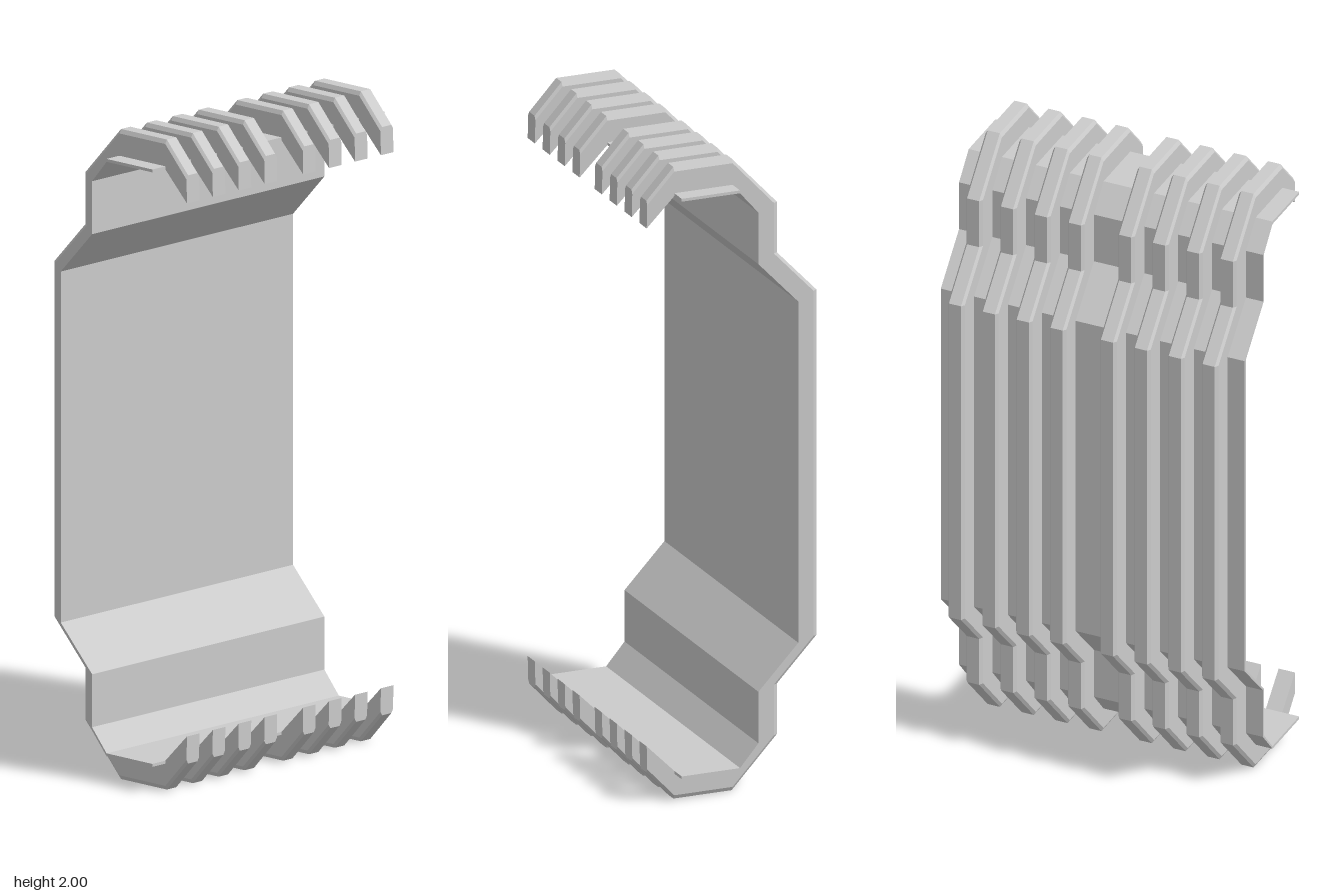
import * as THREE from 'three';

// Upper half of the side profile as [z, y]: front (inner) line and back (outer) line.
const INNER = [[0.28, 1.82], [0.19, 1.91], [0, 1.91], [-0.06, 1.84], [-0.06, 1.677], [-0.19, 1.54]];
const OUTER = [[0.278, 1.905], [0.19, 2], [0, 2], [-0.147, 1.843], [-0.147, 1.683], [-0.276, 1.547]];

// Adds the lower half by mirroring about y = 1.
const mirrored = (half) => [...half, ...half.map(([z, y]) => [z, 2 - y]).reverse()];

// Sweeps a section of [x, t] points down the profile; t runs from inner (0) to outer (1).
function sweep(section, skip) {
  const inner = mirrored(INNER.slice(skip));
  const outer = mirrored(OUTER.slice(skip));
  const rings = inner.map(([z, y], i) => section.map(([x, t]) => [
    x,
    THREE.MathUtils.lerp(y, outer[i][1], t),
    THREE.MathUtils.lerp(z, outer[i][0], t),
  ]));
  const pos = [];
  const tri = (a, b, c) => pos.push(...a, ...b, ...c);
  const n = section.length;
  for (let i = 0; i < rings.length - 1; i++) {
    for (let j = 0; j < n; j++) {
      const k = (j + 1) % n;
      tri(rings[i][j], rings[i][k], rings[i + 1][k]);
      tri(rings[i][j], rings[i + 1][k], rings[i + 1][j]);
    }
  }
  // End caps
  const first = rings[0];
  const last = rings[rings.length - 1];
  for (let j = 1; j < n - 1; j++) {
    tri(first[0], first[j + 1], first[j]);
    tri(last[0], last[j], last[j + 1]);
  }
  const geometry = new THREE.BufferGeometry();
  geometry.setAttribute('position', new THREE.Float32BufferAttribute(pos, 3));
  geometry.computeVertexNormals();
  return geometry;
}

export function createModel() {
  const model = new THREE.Group();
  model.name = 'ribbedPanel';
  const material = new THREE.MeshStandardMaterial({ color: 0xcccccc, flatShading: true });

  // Thin folded sheet, ending short of the rib tips
  const sheet = new THREE.Mesh(
    sweep([[-0.5, 0], [-0.5, 0.1], [0.5, 0.1], [0.5, 0]], 1), material);
  sheet.name = 'foldedSheet';
  model.add(sheet);

  // Eight ribs with chamfered outer edges, hooked forward at both ends
  const w = 0.027, c = 0.007;
  const ribGeometry = sweep(
    [[-w, 0], [-w, 0.86], [-w + c, 1], [w - c, 1], [w, 0.86], [w, 0]], 0);
  const ribs = new THREE.Group();
  ribs.name = 'ribs';
  for (const side of [-1, 1]) {
    for (let i = 0; i < 4; i++) {
      const rib = new THREE.Mesh(ribGeometry, material);
      rib.name = 'rib';
      rib.position.x = side * (0.083 + i * 0.1115);
      ribs.add(rib);
    }
  }
  model.add(ribs);
  return model;
}
